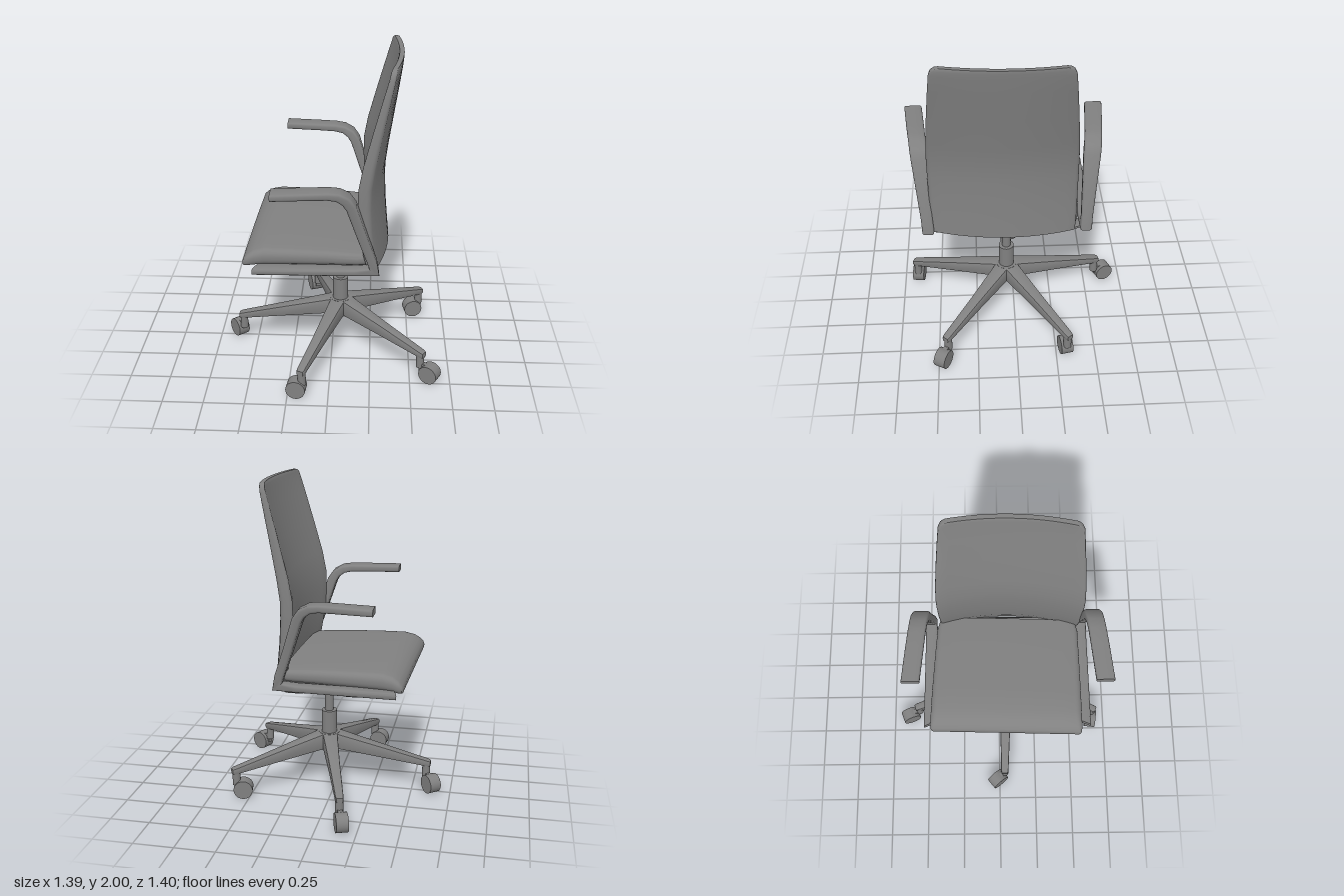
import * as THREE from 'three';
import { toCreasedNormals } from 'three/addons/utils/BufferGeometryUtils.js';

const material = new THREE.MeshStandardMaterial({ color: 0x808080 });
const CX = 0.053, CZ = 0.049; // axis of the column

// Rounded rectangle outline; point i mirrors point n-1-i across the long axis
function roundRect(hw, hh, r, arc = 4, edge = 8) {
  const pts = [];
  const corners = [[1, 1], [-1, 1], [-1, -1], [1, -1]];
  corners.forEach(([sx, sy], c) => {
    for (let i = 0; i <= arc; i++) {
      const t = (c + i / arc) * Math.PI / 2;
      pts.push([sx * (hw - r) + r * Math.cos(t), sy * (hh - r) + r * Math.sin(t)]);
    }
    if (c % 2 === 0) {
      for (let i = 1; i < edge; i++) {
        pts.push([sx * (hw - r) * (1 - 2 * i / edge), sy * hh]);
      }
    }
  });
  return pts;
}

// Skin a list of equal-length rings and close both ends
function loft(rings, crease = 0.6) {
  const n = rings[0].length, pos = rings.flat(2), idx = [];
  for (let j = 0; j < rings.length - 1; j++) {
    for (let i = 0; i < n; i++) {
      const a = j * n + i, b = j * n + (i + 1) % n;
      idx.push(a, b, b + n, a, b + n, a + n);
    }
  }
  const end = (rings.length - 1) * n;
  for (let i = 0; i < n / 2 - 1; i++) {
    const a = i, b = i + 1, c = n - 2 - i, d = n - 1 - i;
    idx.push(a, c, b, a, d, c);
    idx.push(end + a, end + b, end + c, end + a, end + c, end + d);
  }
  // Turn the faces outward if the enclosed volume is negative
  const v = i => new THREE.Vector3(pos[3 * i], pos[3 * i + 1], pos[3 * i + 2]);
  let volume = 0;
  for (let k = 0; k < idx.length; k += 3) {
    volume += v(idx[k]).dot(v(idx[k + 1]).cross(v(idx[k + 2])));
  }
  if (volume < 0) idx.reverse();
  const g = new THREE.BufferGeometry();
  g.setAttribute('position', new THREE.Float32BufferAttribute(pos, 3));
  g.setIndex(idx);
  return toCreasedNormals(g, crease);
}

function add(parent, name, geometry, x = 0, y = 0, z = 0) {
  const mesh = new THREE.Mesh(geometry, material);
  mesh.name = name;
  mesh.position.set(x, y, z);
  parent.add(mesh);
  return mesh;
}

const cylinder = (r, y0, y1, seg = 28) =>
  new THREE.CylinderGeometry(r, r, y1 - y0, seg).translate(0, (y0 + y1) / 2, 0);

// Backrest: bent slab, sections [y, rear x, bend depth, thickness, half width]
function backrest() {
  const rows = [
    [0.81, 0.352, 0.07, 0.05, 0.44], [0.9, 0.343, 0.073, 0.065, 0.446],
    [1.05, 0.33, 0.077, 0.075, 0.45], [1.2, 0.322, 0.077, 0.077, 0.452],
    [1.32, 0.321, 0.074, 0.076, 0.452], [1.45, 0.337, 0.07, 0.072, 0.446],
    [1.65, 0.367, 0.06, 0.058, 0.43], [1.85, 0.397, 0.048, 0.044, 0.411],
    [1.95, 0.411, 0.041, 0.036, 0.4], [1.98, 0.414, 0.039, 0.034, 0.388],
    [1.995, 0.415, 0.037, 0.031, 0.37], [2.0, 0.414, 0.035, 0.027, 0.352]];
  return loft(rows.map(([y, xr, d, t, hw]) =>
    roundRect(hw, t / 2, t * 0.3, 4, 16).map(([a, b]) => {
      const u = a / hw;
      return [xr - t / 2 - d * u * u + b - 0.011 * u, y, 0.072 + a];
    })));
}

// Seat cushion: sections [x, bottom, top, half width, centre z], slightly skewed
function cushion() {
  const rows = [
    [-0.495, 0.825, 0.845, 0.462, 0.04], [-0.488, 0.817, 0.866, 0.472, 0.04],
    [-0.465, 0.816, 0.888, 0.476, 0.04], [-0.43, 0.818, 0.91, 0.475, 0.041],
    [-0.37, 0.822, 0.924, 0.473, 0.042], [-0.25, 0.826, 0.923, 0.47, 0.045],
    [0, 0.83, 0.915, 0.46, 0.052], [0.18, 0.83, 0.902, 0.452, 0.058],
    [0.245, 0.83, 0.897, 0.435, 0.06]];
  return loft(rows.map(([x, b, t, hw, cz]) => {
    const h = (t - b) / 2;
    return roundRect(hw, h, h * 0.85, 5, 12).map(([p, q]) => {
      const u = p / hw;
      const crown = q > 0 ? 0.012 * (1 - u * u) : 0;
      return [x - 0.015 * u, (b + t) / 2 + q + crown, cz + p];
    });
  }), 0.8);
}

// Seat pan: shallow dish, sections [y, x min, x max, half width, corner radius]
function seatPan() {
  const rows = [
    [0.728, -0.03, 0.15, 0.2, 0.06], [0.735, -0.08, 0.18, 0.23, 0.07],
    [0.775, -0.39, 0.26, 0.34, 0.1], [0.8, -0.41, 0.3, 0.43, 0.13],
    [0.835, -0.42, 0.28, 0.44, 0.13]];
  return loft(rows.map(([y, x0, x1, hw, r]) =>
    roundRect((x1 - x0) / 2, hw, r, 6).map(([a, b]) => [(x0 + x1) / 2 + a, y, CZ + b])));
}

// Armrest: one bent strap, stations [x, y, thickness, inner z, outer z]
function armrest(side) {
  const rows = [
    [-0.32, 1.332, 0.042, 0.516, 0.625], [-0.1, 1.332, 0.043, 0.494, 0.602],
    [0, 1.331, 0.045, 0.484, 0.59], [0.055, 1.322, 0.05, 0.477, 0.583],
    [0.1, 1.295, 0.058, 0.47, 0.577], [0.13, 1.25, 0.06, 0.466, 0.57],
    [0.195, 1.05, 0.056, 0.46, 0.546], [0.252, 0.885, 0.055, 0.455, 0.526],
    [0.265, 0.823, 0.075, 0.45, 0.522], [0.15, 0.817, 0.043, 0.445, 0.522],
    [-0.43, 0.814, 0.041, 0.44, 0.527]];
  const points = rows.map(([x, y]) => new THREE.Vector2(x, y));
  const heading = (i, j) => points[j].clone().sub(points[i]).normalize();
  return loft(rows.map(([x, y, t, zi, zo], i) => {
    const dir = new THREE.Vector2();
    if (i > 0) dir.add(heading(i - 1, i));
    if (i < rows.length - 1) dir.add(heading(i, i + 1));
    dir.normalize();
    const w = (zo - zi) / 2;
    // the free end of the bottom rail is cut at a slant
    const slant = i === rows.length - 1 ? 0.018 : 0;
    return roundRect(w, t / 2, 0.014, 3, 2).map(([a, b]) =>
      [x - dir.y * b - slant * a / w, y + dir.x * b, CZ + side * ((zi + zo) / 2 + a)]);
  }), 0.75);
}

// Flat strut under the seat, from the middle out to an arm, stations [z, x blend, y]
function strut(side, x0, x1) {
  const rows = [[0.12, 0, 0.737], [0.3, 0.5, 0.742], [0.38, 0.75, 0.75],
    [0.44, 0.9, 0.772], [0.49, 1, 0.803]];
  return loft(rows.map(([z, k, y]) => roundRect(0.04, 0.008, 0.004, 2, 2).map(([a, b]) =>
    [x0 + (x1 - x0) * k + a, y + b, CZ + side * z])));
}

// Base leg along +x, stations [radius, bottom, top, half width]
function leg() {
  const rows = [[0, 0.25, 0.35, 0.05], [0.07, 0.243, 0.348, 0.047],
    [0.35, 0.205, 0.28, 0.034], [0.655, 0.165, 0.206, 0.025], [0.67, 0.168, 0.2, 0.02]];
  return loft(rows.map(([r, b, t, hw]) => roundRect(hw, (t - b) / 2, 0.008, 2, 2).map(([p, q]) =>
    [r, (b + t) / 2 + q, p])));
}

// Caster: stem at the origin, wheel trailing along +x
function caster(trail) {
  const g = new THREE.Group();
  g.name = 'caster';
  add(g, 'casterStem', cylinder(0.025, 0.09, 0.19, 18));
  const wheel = add(g, 'casterWheel', new THREE.CylinderGeometry(0.06, 0.06, 0.075, 28), trail, 0.064, 0);
  wheel.rotation.x = Math.PI / 2;
  add(g, 'casterFork', new THREE.BoxGeometry(trail, 0.06, 0.03), trail / 2, 0.09, 0);
  return g;
}

export function createModel() {
  const model = new THREE.Group();
  model.name = 'officeChair';

  add(model, 'backrest', backrest());
  add(model, 'seatCushion', cushion());
  add(model, 'seatPan', seatPan());
  for (const side of [1, -1]) {
    const label = side > 0 ? 'left' : 'right';
    add(model, label + 'Armrest', armrest(side));
    add(model, label + 'FrontStrut', strut(side, 0, -0.2));
    add(model, label + 'RearStrut', strut(side, 0.1, 0.2));
  }

  // Gas lift column
  add(model, 'columnRod', cylinder(0.027, 0.45, 0.74), CX, 0, CZ);
  add(model, 'columnSleeve', cylinder(0.049, 0.34, 0.5), CX, 0, CZ);

  // Five-star base, each caster swivelled its own way
  const base = new THREE.Group();
  base.name = 'base';
  base.position.set(CX, 0, CZ);
  model.add(base);
  add(base, 'hub', new THREE.CylinderGeometry(0.068, 0.055, 0.1, 30), 0, 0.3, 0);
  const swivels = [[-0.62, -0.78, 0.06], [-0.35, -0.94, 0.07], [-0.98, 0.2, 0.042],
    [0.88, 0.48, 0.068], [-0.99, -0.12, 0.035]];
  swivels.forEach(([dx, dz, trail], i) => {
    const angle = THREE.MathUtils.degToRad(-178.7 + 72 * i);
    add(base, 'leg', leg()).rotation.y = -angle;
    const c = caster(trail);
    c.position.set(0.642 * Math.cos(angle), 0, 0.642 * Math.sin(angle));
    c.rotation.y = -Math.atan2(dz, dx);
    base.add(c);
  });
  return model;
}
